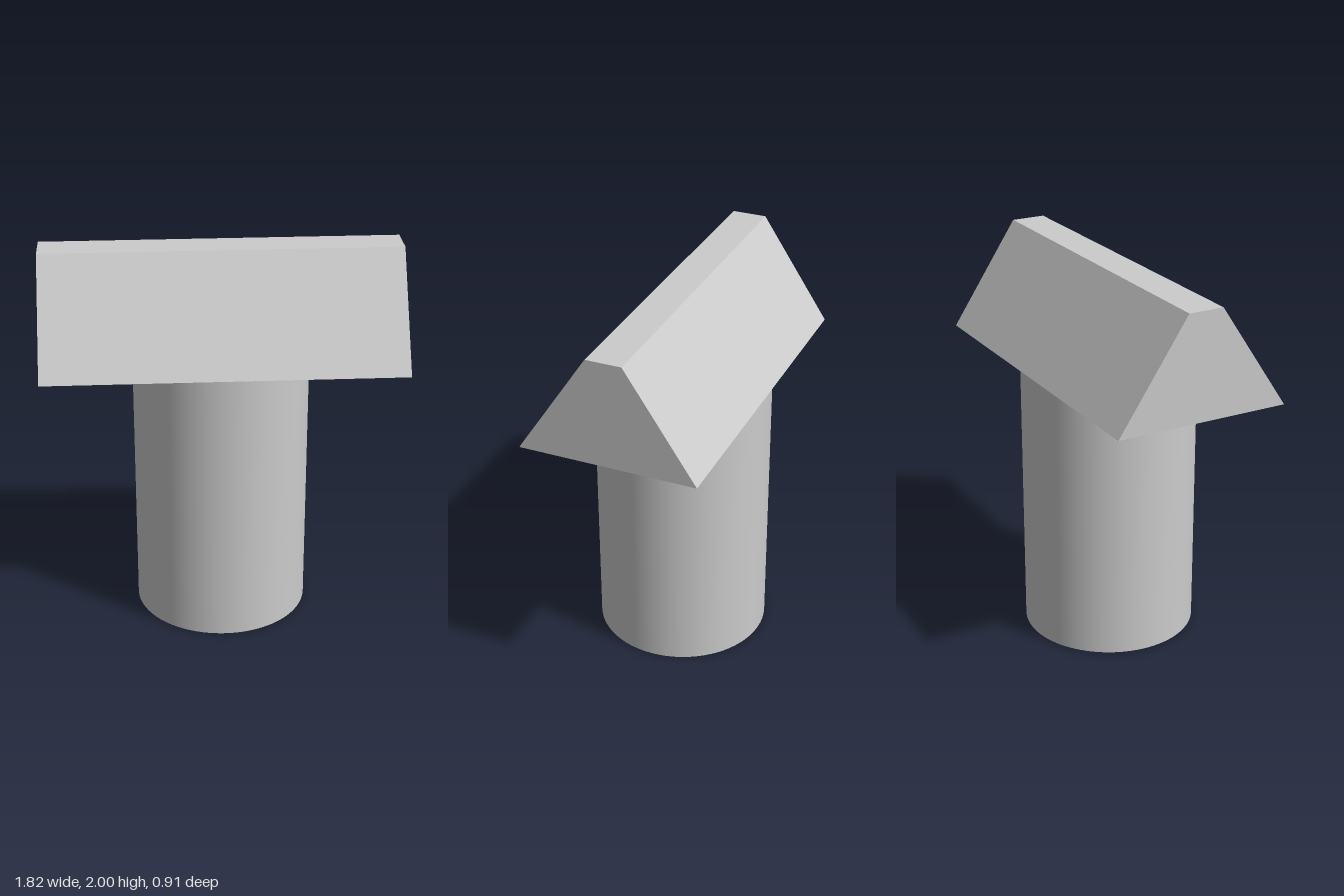
import * as THREE from 'three';

export function createModel() {
  const model = new THREE.Group();
  model.name = 'tBolt';

  const radius = 0.4545;      // shaft radius, also half the head's depth
  const shaftHeight = 1.4545;
  const headHeight = 2 - shaftHeight;
  const headLength = 1.818;
  const ridge = 0.091;        // half-width of the head's flat top

  // Round shaft
  const shaft = new THREE.Mesh(
    new THREE.CylinderGeometry(radius, radius, shaftHeight, 96),
    new THREE.MeshStandardMaterial({ color: 0xcccccc })
  );
  shaft.name = 'shaft';
  shaft.position.y = shaftHeight / 2;
  model.add(shaft);

  // Tapered head: trapezoid section run along x
  const section = new THREE.Shape([
    new THREE.Vector2(-radius, 0),
    new THREE.Vector2(radius, 0),
    new THREE.Vector2(ridge, headHeight),
    new THREE.Vector2(-ridge, headHeight),
  ]);
  const headGeometry = new THREE.ExtrudeGeometry(section, { depth: headLength, bevelEnabled: false });
  headGeometry.translate(0, 0, -headLength / 2).rotateY(Math.PI / 2);
  const head = new THREE.Mesh(
    headGeometry,
    new THREE.MeshStandardMaterial({ color: 0xcccccc, flatShading: true })
  );
  head.name = 'head';
  head.position.y = shaftHeight;
  model.add(head);

  return model;
}
